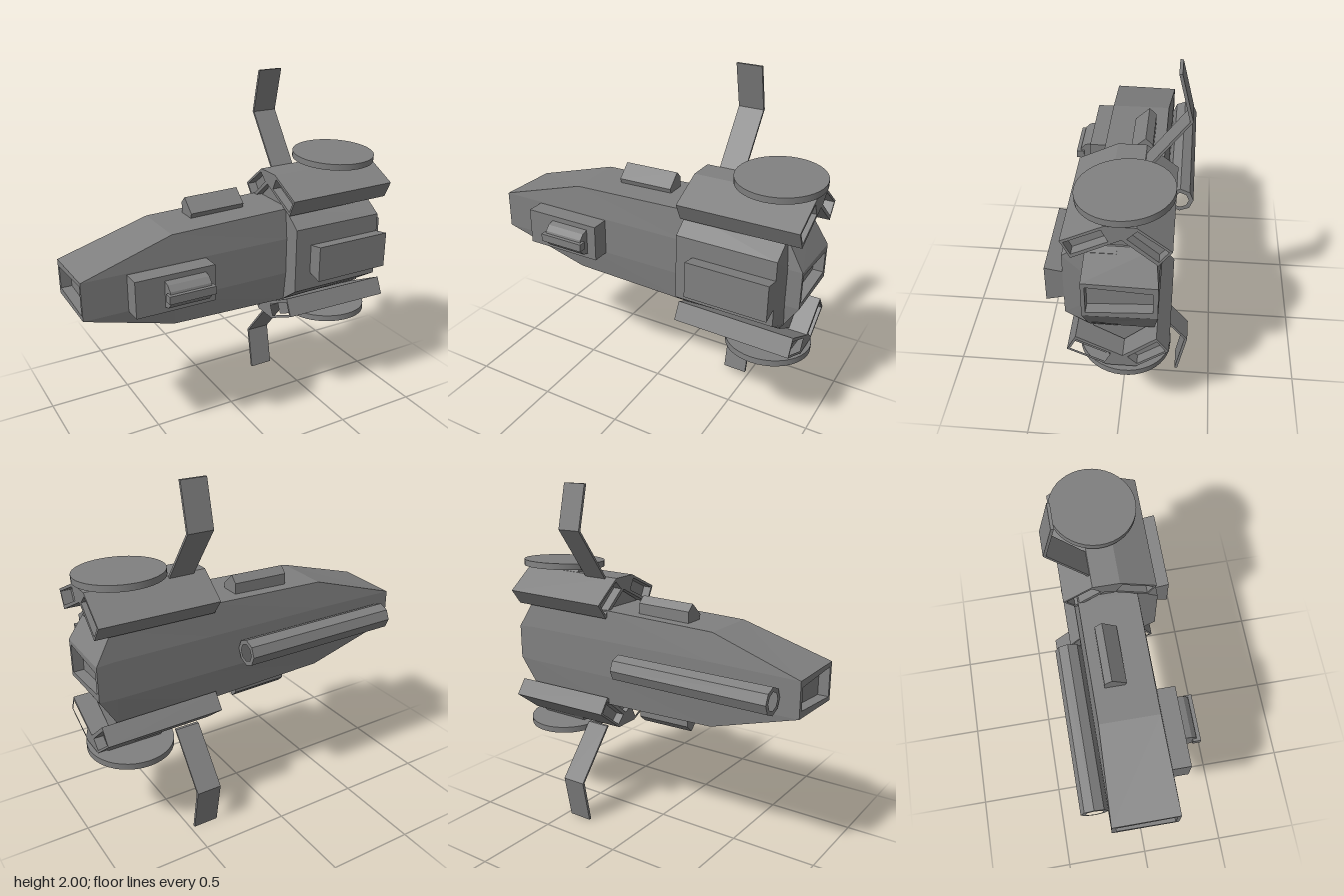
import * as THREE from 'three';

const MID = 1.01; // height of the ship's mirror plane
const mat = new THREE.MeshStandardMaterial({ color: 0x808080, flatShading: true });
const matSmooth = new THREE.MeshStandardMaterial({ color: 0x808080 });

function add(parent, name, geometry, material = mat) {
  const mesh = new THREE.Mesh(geometry, material);
  mesh.name = name;
  parent.add(mesh);
  return mesh;
}

// Prism along x from a [z, y] outline, with optional through holes
function prism(x0, x1, outline, holes = []) {
  const pts = (list) => list.map(([z, y]) => new THREE.Vector2(-z, y));
  const shape = new THREE.Shape(pts(outline));
  holes.forEach((h) => shape.holes.push(new THREE.Path(pts(h))));
  const g = new THREE.ExtrudeGeometry(shape, { depth: x1 - x0, bevelEnabled: false });
  return g.rotateY(Math.PI / 2).translate(x0, 0, 0);
}

// Turn a geometry about the z axis around a point
const tilt = (g, angle, x, y) => g.translate(-x, -y, 0).rotateZ(angle).translate(x, y, 0);

// Skin through rings of [x, y, z] points, closed at both ends
function loft(rings) {
  const n = rings[0].length, index = [], last = (rings.length - 1) * n;
  for (let i = 0; i < rings.length - 1; i++) {
    for (let j = 0; j < n; j++) {
      const a = i * n + j, b = i * n + ((j + 1) % n);
      index.push(a, b, b + n, a, b + n, a + n);
    }
  }
  for (let k = 1; k < n - 1; k++) index.push(0, k + 1, k, last, last + k, last + k + 1);
  const g = new THREE.BufferGeometry();
  g.setAttribute('position', new THREE.Float32BufferAttribute(rings.flat(2), 3));
  g.setIndex(index);
  const flat = g.toNonIndexed();
  flat.computeVertexNormals();
  return flat;
}

// Ring from the upper half of a section, [z, half height], mirrored below
const ringAt = (x, upper) =>
  [...upper, ...upper.map(([z, y]) => [z, -y]).reverse()].map(([z, y]) => [x, MID + y, z]);

// Hull section, end frame and tapered recess
const section = (x, roof) =>
  ringAt(x, [[-0.205, 0.107], [-0.185, roof], [0.15, roof], [0.17, 0.107]]);
const frame = (x) => ringAt(x, [[-0.205, 0.1], [-0.205, 0.1], [0.17, 0.108], [0.17, 0.108]]);
const recess = (x) => ringAt(x, [[-0.18, 0.062], [-0.18, 0.062], [0.15, 0.083], [0.15, 0.083]]);

const box = (x0, x1, y0, y1, z0, z1) =>
  new THREE.BoxGeometry(x1 - x0, y1 - y0, z1 - z0)
    .translate((x0 + x1) / 2, (y0 + y1) / 2, (z0 + z1) / 2);

export function createModel() {
  const ship = new THREE.Group();
  ship.name = 'spaceship';

  // Hull with a recessed opening at each end
  add(ship, 'hull', loft([
    recess(-0.90), recess(-0.96), frame(-0.96),
    section(-0.44, 0.263), section(0.27, 0.283), section(0.84, 0.268),
    frame(0.94), recess(0.94), recess(0.88),
  ]));

  // Chamfered block on the front of the rear hull
  const blockRing = (x, front, flat, roof) =>
    ringAt(x, [[0, roof], [0.15, roof], [front, flat]]);
  add(ship, 'frontBlock', loft([
    blockRing(0.27, 0.27, 0.19, 0.28),
    blockRing(0.84, 0.27, 0.19, 0.268),
    blockRing(0.86, 0.172, 0.109, 0.238),
  ]));
  add(ship, 'frontPanel', prism(0.37, 0.84,
    [[0.25, 0.93], [0.25, 1.09], [0.36, 1.11], [0.36, 0.9]]));

  // Turret on the front of the nose
  const turret = new THREE.Group();
  turret.name = 'turret';
  ship.add(turret);
  add(turret, 'turretBase', box(-0.71, -0.25, 0.9, 1.11, 0.15, 0.275));
  add(turret, 'turretDrum', new THREE.CylinderGeometry(0.075, 0.075, 0.24, 12)
    .rotateZ(Math.PI / 2).translate(-0.425, 1.005, 0.275));
  add(turret, 'turretBar', box(-0.56, -0.29, 0.985, 1.03, 0.32, 0.365));

  // Long hollow eight-sided barrel along the back
  const ring = (r) => Array.from({ length: 8 }, (_, i) => {
    const a = (i * Math.PI) / 4;
    return [-0.28 + r * Math.cos(a), 1.005 + r * Math.sin(a)];
  });
  add(ship, 'barrel', prism(-0.85, 0.11, ring(0.076), [ring(0.05)]));

  // Parts repeated above and below the hull
  for (const s of [1, -1]) {
    const side = new THREE.Group();
    side.name = s > 0 ? 'upperSide' : 'lowerSide';
    ship.add(side);
    const flip = (list) => list.map(([z, y]) => [z, MID + s * (y - MID)]);

    // Angled twin engine pods with recessed ends
    const ducts = [
      flip([[0.238, 1.362], [0.205, 1.295], [0.03, 1.382], [0.062, 1.447]]),
      flip([[-0.055, 1.402], [-0.103, 1.45], [-0.248, 1.338], [-0.203, 1.275]]),
    ];
    const tiltPod = (g) => tilt(g, s * 0.012, 0.6, MID + s * 0.36);
    add(side, 'enginePods', tiltPod(prism(0.257, 0.935, flip([
      [0.255, 1.37], [0.207, 1.272], [-0.03, 1.395], [-0.2, 1.252],
      [-0.265, 1.34], [-0.1, 1.47], [0.05, 1.47]]), ducts)));
    ducts.forEach((d) => add(side, 'engineCore', tiltPod(prism(0.31, 0.88, d))));

    // Pylons from hull to pods and from pods to disc
    add(side, 'podMount', prism(0.29, 0.83,
      flip([[0.13, 1.22], [-0.15, 1.22], [-0.15, 1.28], [-0.03, 1.39], [0.13, 1.3]])));
    add(side, 'discMount', prism(0.55, 0.87,
      flip([[0.05, 1.46], [-0.1, 1.46], [-0.07, 1.51], [0.02, 1.5]])));

    // Tilted round disc
    const disc = add(side, 'disc', new THREE.CylinderGeometry(0.242, 0.242, 0.036, 40), matSmooth);
    disc.position.set(0.712, MID + s * 0.497, -0.027);
    disc.rotation.x = s * 0.055;

    // Thin bent fin
    const path = s > 0
      ? [[-0.1, 1.45], [-0.32, 1.75], [-0.26, 2]]
      : [[-0.115, 0.55], [-0.355, 0.26], [-0.305, 0]];
    const shift = (d) => path.map(([z, y]) => [z + d, y]);
    add(side, 'fin', prism(0.33, 0.475, [...shift(0.008), ...shift(-0.008).reverse()]));

    // Faceted fairing following the slope of the hull
    add(side, 'fairing', tilt(prism(-0.25, 0.08, flip([
      [0, 1.31], [-0.02, 1.25], [-0.12, 1.25], [-0.12, 1.345], [-0.08, 1.383]])),
    s * 0.02, -0.085, MID + s * 0.3));
  }
  return ship;
}
